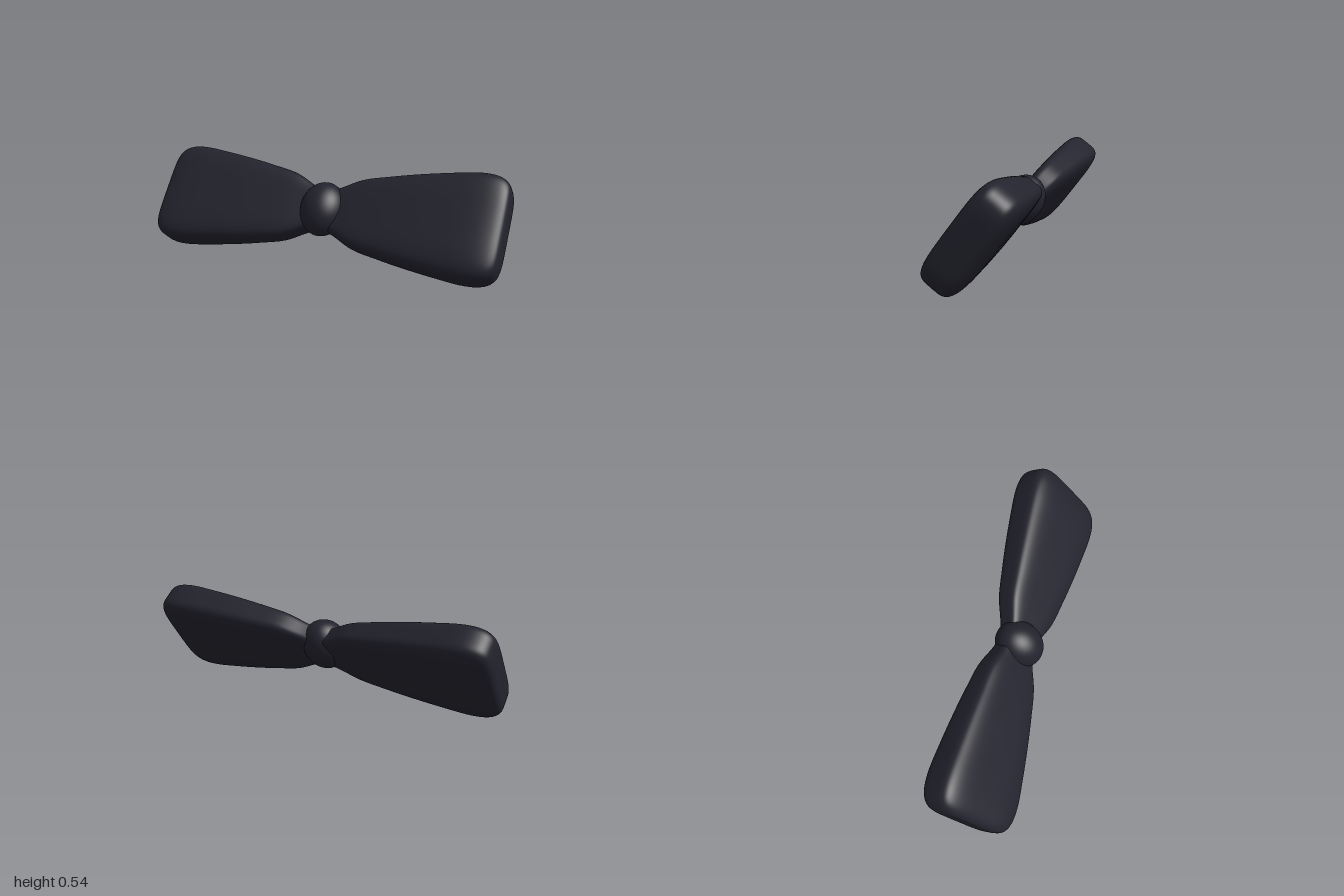
import * as THREE from 'three';

const TILT = 0.65;

// Stations along a wing: x, half height, half thickness
const STATIONS = [
  [0.0, 0.1, 0.06], [0.08, 0.132, 0.064], [0.2, 0.19, 0.078], [0.35, 0.223, 0.09],
  [0.5, 0.25, 0.1], [0.68, 0.276, 0.109], [0.82, 0.291, 0.114], [0.9, 0.287, 0.111],
  [0.95, 0.27, 0.102], [0.98, 0.242, 0.088], [0.995, 0.2, 0.068], [1.0, 0.15, 0.045],
];

// Loft of rounded-rectangle sections, closed at both ends
function wingGeometry(sides = 64, steps = 60) {
  const curve = new THREE.CatmullRomCurve3(STATIONS.map((s) => new THREE.Vector3(...s)), false, 'centripetal');
  const soft = (v) => Math.sign(v) * Math.pow(Math.abs(v), 2 / 4.4);
  const pos = [];
  const index = [];
  for (let i = 0; i <= steps; i++) {
    const s = curve.getPoint(i / steps);
    for (let j = 0; j < sides; j++) {
      const a = (j / sides) * Math.PI * 2;
      pos.push(s.x, s.y * soft(Math.cos(a)), s.z * soft(Math.sin(a)));
    }
  }
  for (let i = 0; i < steps; i++) {
    for (let j = 0; j < sides; j++) {
      const k = (j + 1) % sides;
      const a = i * sides + j, b = i * sides + k;
      index.push(a, b, a + sides, b, b + sides, a + sides);
    }
  }
  // End caps
  const inner = pos.length / 3;
  pos.push(0, 0, 0, 1, 0, 0);
  for (let j = 0; j < sides; j++) {
    const k = (j + 1) % sides;
    index.push(inner, k, j, inner + 1, steps * sides + j, steps * sides + k);
  }
  const geo = new THREE.BufferGeometry();
  geo.setAttribute('position', new THREE.Float32BufferAttribute(pos, 3));
  geo.setIndex(index);
  geo.computeVertexNormals();
  return geo;
}

export function createModel() {
  const cloth = new THREE.MeshStandardMaterial({ color: 0x23232e });
  cloth.name = 'dark navy cloth';

  const model = new THREE.Group();
  model.name = 'bowTie';
  const bow = new THREE.Group();
  bow.name = 'tiltedBow';
  bow.position.y = 0.27;
  bow.rotation.x = -TILT;
  model.add(bow);

  // Two matching wings
  const geo = wingGeometry();
  for (const [name, turn] of [['leftWing', 0], ['rightWing', Math.PI]]) {
    const wing = new THREE.Mesh(geo, cloth);
    wing.name = name;
    wing.rotation.y = turn;
    bow.add(wing);
  }

  // Rounded centre knot
  const knot = new THREE.Mesh(new THREE.SphereGeometry(1, 48, 32), cloth);
  knot.name = 'knot';
  knot.scale.set(0.125, 0.152, 0.122);
  knot.position.z = 0.02;
  bow.add(knot);

  return model;
}
